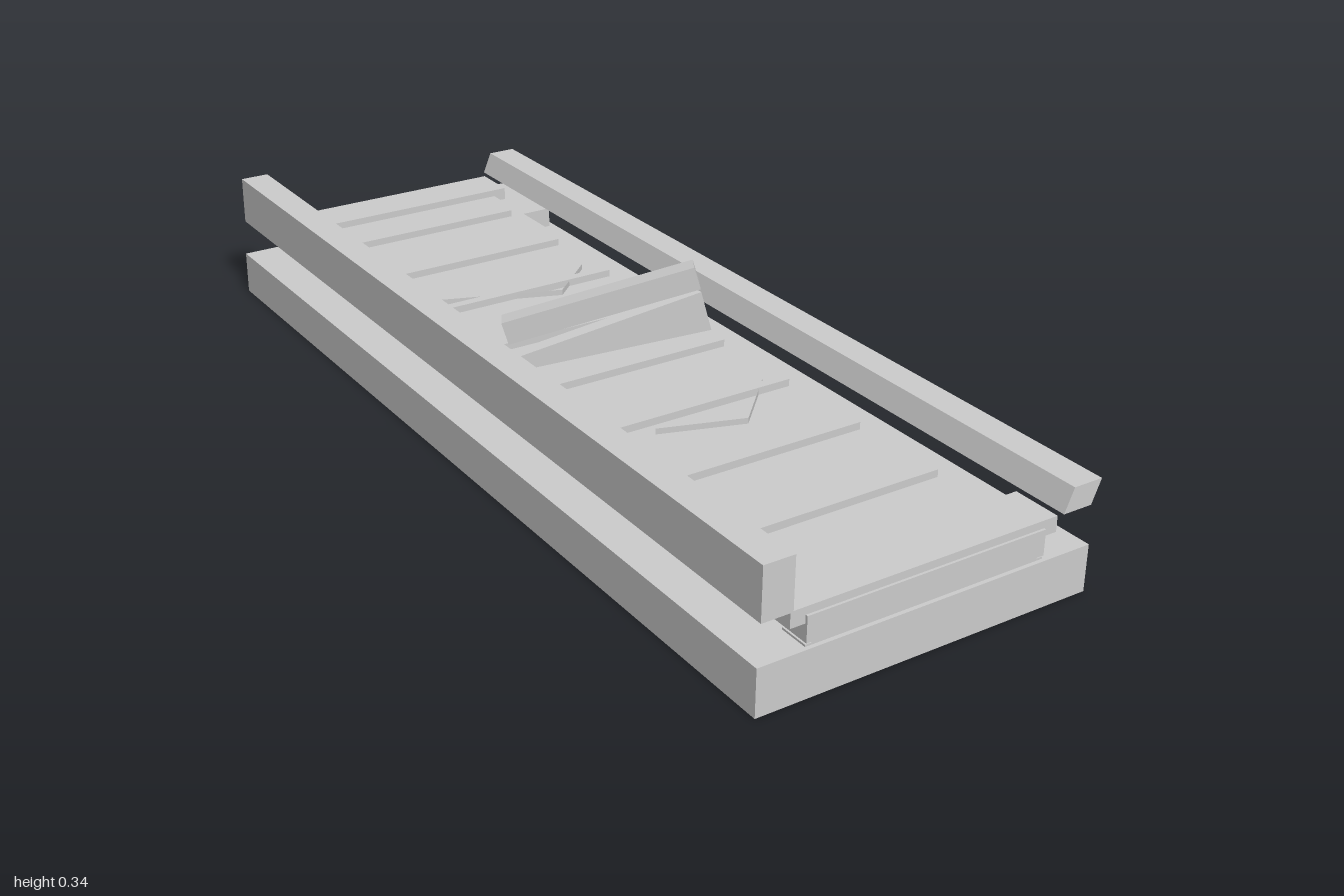
import * as THREE from 'three';

const material = new THREE.MeshStandardMaterial({ color: 0xcccccc, flatShading: true });
const thinMaterial = new THREE.MeshStandardMaterial({ color: 0xcccccc, flatShading: true, side: THREE.DoubleSide });

export function createModel() {
  const model = new THREE.Group();

  const add = (name, geometry, mat = material) => {
    const mesh = new THREE.Mesh(geometry, mat);
    mesh.name = name;
    model.add(mesh);
    return mesh;
  };

  // Box given by its limits on each axis
  const block = (name, x0, x1, y0, y1, z0, z1) => {
    const mesh = add(name, new THREE.BoxGeometry(x1 - x0, y1 - y0, z1 - z0));
    mesh.position.set((x0 + x1) / 2, (y0 + y1) / 2, (z0 + z1) / 2);
    return mesh;
  };

  // Outline in x and y, drawn out along z and centred on z = 0
  const prism = (points, depth) => {
    const shape = new THREE.Shape(points.map(([x, y]) => new THREE.Vector2(x, y)));
    return new THREE.ExtrudeGeometry(shape, { depth, bevelEnabled: false }).translate(0, 0, -depth / 2);
  };

  // Base slab and deck
  block('base', -0.357, 0.343, 0, 0.093, -1, 1);
  block('deck', -0.258, 0.242, 0.101, 0.151, -0.995, 0.995);

  // Bearers between base and deck
  for (const z of [0.63, 0.415, 0.2, -0.015, -0.23, -0.44, -0.65]) {
    block('bearer', -0.245, 0.23, 0.093, 0.101, z - 0.01, z + 0.01);
  }
  for (const s of [-1, 1]) {
    const z = s * 0.962;
    block('endBearer', -0.258, 0.242, 0.093, 0.097, z - 0.03, z + 0.03);
    block('endBearerTop', -0.245, 0.23, 0.097, 0.101, z - 0.03, z + 0.03);
    // Cross beam at each end of the deck
    const b = s * 0.94;
    block('endBeam', -0.288, 0.271, 0.135, 0.166, b - 0.05, b + 0.05);
  }

  // Slats across the deck
  for (let i = 0; i < 8; i++) {
    const z = -0.76 + i * 0.2155;
    block('slat', -0.23, 0.21, 0.151, 0.166, z - 0.01, z + 0.01);
  }

  // Side rails: one upright, one leaning outward
  block('rightRail', -0.352, -0.29, 0.172, 0.275, -1, 1);
  add('leftRail', prism([[0.275, 0.172], [0.337, 0.172], [0.356, 0.218], [0.294, 0.218]], 2));

  // Small block beside the deck at the back
  block('sideBlock', 0.242, 0.329, 0.093, 0.138, -0.99, -0.778);

  // Wedge plank standing on the deck, turned a little
  const wedge = prism([[-0.21, 0.192], [-0.205, 0.162], [0.215, 0.166], [0.19, 0.254]], 0.028);
  const p = wedge.attributes.position;
  for (let i = 0; i < p.count; i++) p.setZ(i, p.getZ(i) + 0.11 * p.getX(i) + 0.022);
  wedge.computeVertexNormals();
  add('wedgePlank', wedge);

  // Loose plank propped across the wedge
  const low = new THREE.Vector3(-0.185, 0.209, -0.08);
  const high = new THREE.Vector3(0.142, 0.321, 0.108);
  const plank = add('loosePlank', new THREE.BoxGeometry(0.042, 0.048, low.distanceTo(high)));
  plank.position.copy(low).add(high).multiplyScalar(0.5);
  plank.lookAt(high);

  // Thin bent strips standing on the deck
  const strips = [
    [[-0.12, 0.36], [0.05, 0.415], [0.17, 0.295]],
    [[-0.175, -0.375], [0.07, -0.285], [0.18, -0.385]],
  ];
  for (const path of strips) {
    const strip = new THREE.PlaneGeometry(1, 1, 2, 1);
    const v = strip.attributes.position;
    path.forEach(([x, z], i) => {
      v.setXYZ(i, x, 0.163, z);
      v.setXYZ(i + 3, x, 0.151, z);
    });
    strip.computeVertexNormals();
    add('bentStrip', strip, thinMaterial);
  }

  return model;
}
